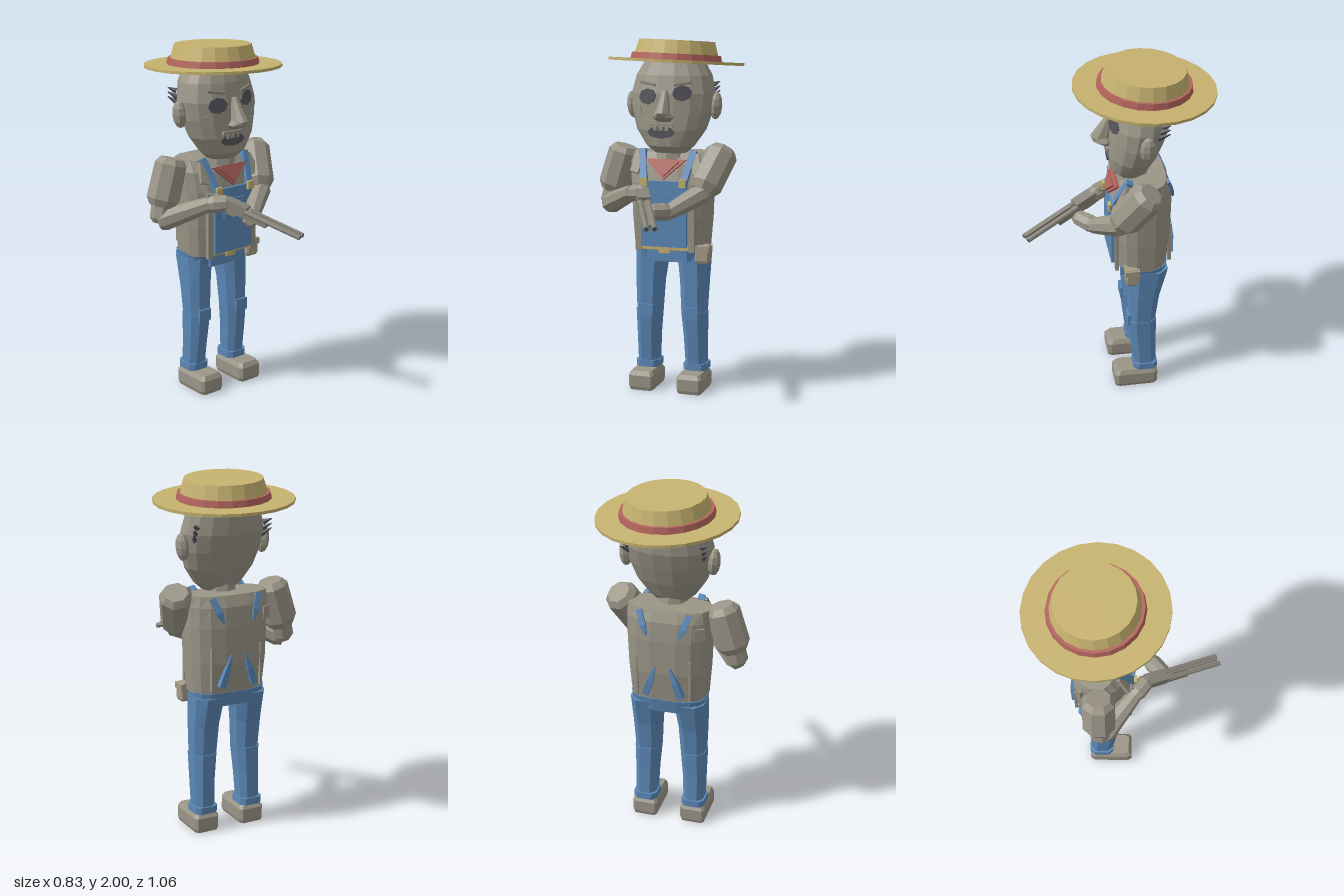
import * as THREE from 'three';

const mat = (name, color) => {
  const m = new THREE.MeshStandardMaterial({ color });
  m.name = name;
  return m;
};
const V = (x, y, z) => new THREE.Vector3(x, y, z);

// Faceted normals for the low-poly look
function facet(geo) {
  const g = geo.index ? geo.toNonIndexed() : geo;
  g.computeVertexNormals();
  return g;
}

// Closed loft through rings [y, cx, cz, rx, rz]; higher power means squarer rings
function loft(rings, n = 8, power = 2) {
  const pos = [], idx = [], phase = Math.PI / n;
  const bend = v => Math.sign(v) * Math.abs(v) ** (2 / power);
  const k = 1 / bend(Math.cos(phase));
  for (const [y, cx, cz, rx, rz] of rings)
    for (let i = 0; i < n; i++) {
      const a = phase + i / n * Math.PI * 2;
      pos.push(cx + rx * k * bend(Math.cos(a)), y, cz + rz * k * bend(Math.sin(a)));
    }
  for (let j = 0; j < rings.length - 1; j++)
    for (let i = 0; i < n; i++) {
      const a = j * n + i, b = j * n + (i + 1) % n;
      idx.push(a, a + n, b, b, a + n, b + n);
    }
  const last = rings.length - 1, c0 = pos.length / 3;
  for (const r of [rings[0], rings[last]]) pos.push(r[1], r[0], r[2]);
  for (let i = 0; i < n; i++) {
    const j = (i + 1) % n;
    idx.push(c0, i, j, c0 + 1, last * n + j, last * n + i);
  }
  const g = new THREE.BufferGeometry();
  g.setAttribute('position', new THREE.Float32BufferAttribute(pos, 3));
  g.setIndex(idx);
  return g;
}

export function createModel() {
  const root = new THREE.Group();
  root.name = 'farmer';
  const grey = mat('warm grey', 0x9a9587), denim = mat('denim blue', 0x5c89b8),
    straw = mat('straw', 0xc6b26f), red = mat('faded red', 0xb4655d),
    dark = mat('dark grey', 0x55565d), gunGrey = mat('gun grey', 0x89857b),
    tan = mat('pouch tan', 0xa89d86);

  const add = (name, geo, m, p = [0, 0, 0], r = [0, 0, 0], parent = root) => {
    const mesh = new THREE.Mesh(facet(geo), m);
    mesh.name = name;
    mesh.position.set(...p);
    mesh.rotation.set(...r);
    parent.add(mesh);
    return mesh;
  };
  const box = (name, m, w, h, d, p, r) => add(name, new THREE.BoxGeometry(w, h, d), m, p, r);
  // Tapered limb between two points; profile holds [fraction along, radius]
  const limb = (name, m, a, b, profile, n = 8, power = 2) => {
    const d = b.clone().sub(a), len = d.length();
    const mesh = add(name, loft(profile.map(([t, r]) => [t * len, 0, 0, r, r]), n, power), m, a.toArray());
    mesh.quaternion.setFromUnitVectors(V(0, 1, 0), d.normalize());
    return mesh;
  };

  // Hat, slightly tilted
  const hat = new THREE.Group();
  hat.name = 'hat';
  hat.position.set(0.04, 1.872, -0.148);
  hat.rotation.set(-0.05, 0, -0.035);
  root.add(hat);
  add('hatBrim', new THREE.CylinderGeometry(0.382, 0.382, 0.016, 24), straw, [0, 0, 0], [0, 0, 0], hat);
  add('hatBand', new THREE.CylinderGeometry(0.25, 0.258, 0.04, 20), red, [0, 0.022, 0], [0, 0, 0], hat);
  add('hatCrown', new THREE.CylinderGeometry(0.213, 0.245, 0.112, 20), straw, [0, 0.06, 0], [0, 0, 0], hat);

  // Head and face
  add('head', loft([
    [1.37, 0.035, -0.07, 0.09, 0.07], [1.41, 0.035, -0.065, 0.135, 0.105],
    [1.5, 0.035, -0.082, 0.195, 0.132], [1.6, 0.035, -0.103, 0.226, 0.147],
    [1.7, 0.035, -0.12, 0.235, 0.16], [1.8, 0.035, -0.135, 0.212, 0.15],
    [1.88, 0.035, -0.145, 0.165, 0.125]], 16, 2.15), grey);
  add('neck', new THREE.CylinderGeometry(0.08, 0.1, 0.1, 8), grey, [0.03, 1.36, -0.09]);
  add('nose', loft([
    [1.55, 0.035, 0.055, 0.035, 0.02], [1.575, 0.035, 0.075, 0.056, 0.05],
    [1.6, 0.035, 0.085, 0.038, 0.055], [1.72, 0.035, 0.035, 0.016, 0.02]], 8), grey);
  const socket = (name, w, h, p, r) => {
    const g = new THREE.CylinderGeometry(0.5, 0.5, 0.009, 8).rotateX(Math.PI / 2).scale(w, h, 1);
    return add(name, g, dark, p, r);
  };
  socket('mouth', 0.16, 0.07, [0.015, 1.49, 0.051], [0, -0.05, 0]);
  for (const [i, y] of [[-1, 1.493], [0, 1.493], [1, 1.493]])
    box('tooth', grey, 0.022, 0.02, 0.008, [0.015 + i * 0.033, y + 0.017, 0.055]);
  box('upperLip', grey, 0.13, 0.018, 0.02, [0.015, 1.53, 0.048]);
  for (const s of [-1, 1]) {
    const cx = 0.03 + s * 0.1;
    socket('eyeSocket', 0.112, 0.088, [cx, 1.695 + s * 0.01, 0.028], [-0.08, s * 0.33, 0.1]);
    box('eyebrow', gunGrey, 0.1, 0.014, 0.02, [cx, 1.755, 0.013], [0, s * 0.33, s * 0.15]);
    box('cheek', grey, 0.045, 0.06, 0.02, [0.032 + s * 0.155, 1.6, 0.0], [0, s * 0.6, s * -0.3]);
    add('ear', new THREE.SphereGeometry(1, 8, 6).scale(0.035, 0.077, 0.046), grey,
      [0.035 + s * 0.245, 1.63, -0.13], [0, 0, s * -0.08]);
    for (let i = 0; i < 3; i++)
      limb('hairTuft', dark, V(0.035 + s * 0.2, 1.67 + i * 0.035, -0.19 - i * 0.012),
        V(0.035 + s * 0.235, 1.71 + i * 0.025, -0.245), [[0, 0.012], [1, 0.002]], 4);
  }

  // Jacket
  add('jacket', loft([
    [0.82, 0.03, -0.13, 0.212, 0.14], [1.0, 0.03, -0.132, 0.225, 0.16],
    [1.2, 0.03, -0.13, 0.232, 0.165], [1.31, 0.025, -0.14, 0.235, 0.145],
    [1.37, 0.025, -0.155, 0.225, 0.105]], 16, 2.8), grey);
  for (const s of [-1, 1]) {
    box('jacketFront', grey, 0.035, 0.38, 0.02, [0.03 + s * 0.155, 1.01, 0.022]);
    box('backSeam', grey, 0.012, 0.24, 0.02, [0.03 + s * 0.15, 0.97, -0.275]);
    box('collar', grey, 0.05, 0.12, 0.02, [0.03 + s * 0.17, 1.31, -0.01], [-0.45, 0, s * 0.25]);
  }
  box('shoulderPatch', grey, 0.06, 0.07, 0.03, [-0.16, 1.25, -0.245], [0, 0.5, 0]);

  // Dungarees: bib, straps and hips
  box('bib', denim, 0.265, 0.37, 0.016, [0.028, 1.032, 0.04]);
  box('bibPocket', denim, 0.15, 0.11, 0.008, [0.028, 1.1, 0.051]);
  for (const s of [-1, 1]) {
    limb('frontStrap', denim, V(0.028 + s * 0.11, 1.19, 0.045), V(0.028 + s * 0.15, 1.38, -0.05),
      [[0, 0.019], [1, 0.019]], 4);
    box('strapBuckle', straw, 0.04, 0.045, 0.016, [0.028 + s * 0.112, 1.21, 0.056]);
    limb('upperBackStrap', denim, V(0.028 + s * 0.14, 1.36, -0.25), V(0.028 + s * 0.09, 1.23, -0.3),
      [[0, 0.016], [0.6, 0.018], [1, 0.003]], 4);
    limb('lowerBackStrap', denim, V(0.028 + s * 0.1, 0.87, -0.285), V(0.028 + s * 0.04, 1.05, -0.298),
      [[0, 0.018], [0.5, 0.018], [1, 0.003]], 4);
  }
  box('belt', straw, 0.28, 0.025, 0.012, [0.028, 0.838, 0.012]);
  box('beltBuckle', straw, 0.065, 0.05, 0.012, [0.025, 0.833, 0.022]);
  add('hips', loft([
    [0.75, 0.028, -0.15, 0.2, 0.11], [0.83, 0.028, -0.145, 0.213, 0.13]], 16, 3), denim);
  box('frontPanel', denim, 0.24, 0.075, 0.02, [0.028, 0.79, -0.022]);
  add('pouch', loft([
    [0.75, 0.23, -0.055, 0.034, 0.03], [0.765, 0.23, -0.055, 0.04, 0.036],
    [0.84, 0.23, -0.055, 0.04, 0.036], [0.855, 0.23, -0.055, 0.034, 0.03]], 8, 8), tan);
  box('pouchFlap', tan, 0.088, 0.035, 0.08, [0.23, 0.833, -0.055]);

  // Neckerchief, two layered triangles
  for (const [w, h, z] of [[0.12, 0.115, 0.055], [0.085, 0.085, 0.068]]) {
    const t = new THREE.Shape([new THREE.Vector2(0, 0), new THREE.Vector2(w, h), new THREE.Vector2(-w, h)]);
    add('neckerchief', new THREE.ExtrudeGeometry(t, { depth: 0.014, bevelEnabled: false }), red,
      [0.028, 1.225 + (0.115 - h) * 0.6, z - 0.015], [-0.35, 0, 0]);
  }

  // Legs and shoes, mirrored about the hip centre
  for (const s of [-1, 1]) {
    const x = d => 0.028 + s * d;
    add('thigh', loft([
      [0.44, x(0.133), -0.125, 0.068, 0.073], [0.62, x(0.132), -0.135, 0.076, 0.085],
      [0.8, x(0.124), -0.157, 0.088, 0.11]], 8, 2.6), denim);
    add('shin', loft([
      [0.12, x(0.143), -0.145, 0.058, 0.062], [0.3, x(0.14), -0.132, 0.062, 0.072],
      [0.455, x(0.135), -0.125, 0.07, 0.081]], 8, 2.6), denim);
    box('kneePatch', denim, 0.08, 0.07, 0.02, [x(0.135), 0.455, -0.05]);
    add('trouserCuff', loft([
      [0.11, x(0.143), -0.145, 0.067, 0.07], [0.15, x(0.143), -0.145, 0.067, 0.07]], 8, 4), denim);
    add('shoe', loft([
      [0, x(0.143), -0.087, 0.068, 0.12], [0.02, x(0.143), -0.087, 0.075, 0.126],
      [0.085, x(0.143), -0.087, 0.075, 0.126], [0.11, x(0.143), -0.087, 0.06, 0.108]], 8, 9), grey);
  }

  // Arms: chunky sleeves, slim forearms, hands on the gun
  const sleeve = [[0, 0.062], [0.12, 0.086], [0.85, 0.088], [1, 0.065]];
  const fore = [[0, 0.045], [0.12, 0.058], [0.8, 0.045], [1, 0.04]];
  const hand = [[0, 0.035], [0.3, 0.047], [0.8, 0.042], [1, 0.025]];
  limb('rightSleeve', grey, V(-0.255, 1.39, -0.14), V(-0.335, 1.13, -0.14), sleeve);
  limb('rightForearm', grey, V(-0.36, 1.05, -0.13), V(-0.15, 1.15, 0.05), fore);
  limb('rightElbow', grey, V(-0.325, 1.17, -0.14), V(-0.355, 1.04, -0.13), [[0, 0.055], [0.8, 0.055], [1, 0.035]]);
  limb('rightHand', grey, V(-0.16, 1.145, 0.04), V(-0.055, 1.16, 0.13), hand);
  limb('leftSleeve', grey, V(0.325, 1.39, -0.14), V(0.24, 1.16, 0.01), sleeve);
  limb('leftForearm', grey, V(0.27, 1.17, 0.0), V(0.08, 1.055, 0.14), fore);
  limb('leftHand', grey, V(0.1, 1.06, 0.12), V(-0.01, 1.07, 0.23), hand);

  // Double-barrelled gun, pointing along local +z
  const gun = new THREE.Group();
  gun.name = 'gun';
  gun.position.set(0.108, 1.028, 0.515);
  gun.lookAt(V(0.108 + 0.1, 1.028 - 0.074, 0.515 + 0.22));
  root.add(gun);
  for (const s of [-1, 1]) {
    add('barrel', new THREE.CylinderGeometry(0.015, 0.015, 0.34, 8).rotateX(Math.PI / 2), gunGrey,
      [s * 0.022, 0, -0.17], [0, 0, 0], gun);
    add('bore', new THREE.CylinderGeometry(0.01, 0.01, 0.004, 8).rotateX(Math.PI / 2), dark,
      [s * 0.022, 0, 0.001], [0, 0, 0], gun);
  }
  const part = (name, w, h, d, p, r) => add(name, new THREE.BoxGeometry(w, h, d), gunGrey, p, r, gun);
  part('barrelRib', 0.012, 0.012, 0.3, [0, 0.012, -0.16]);
  part('foreEnd', 0.062, 0.032, 0.16, [0, -0.018, -0.28]);
  part('receiver', 0.068, 0.06, 0.13, [0, -0.005, -0.4]);
  part('stock', 0.045, 0.06, 0.15, [0, -0.02, -0.52], [-0.12, 0, 0]);
  part('triggerGuard', 0.016, 0.035, 0.06, [0, -0.045, -0.42]);

  return root;
}
